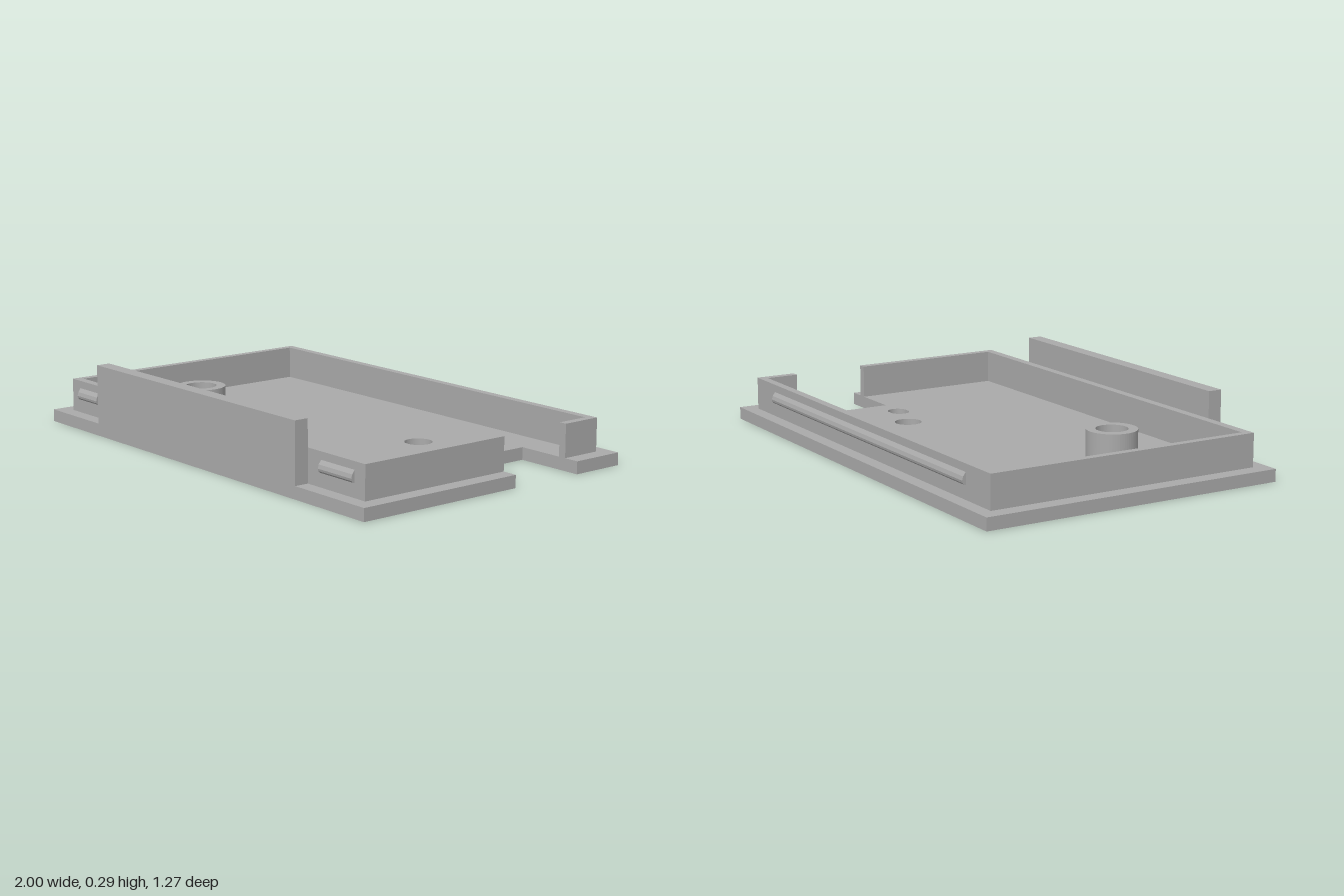
import * as THREE from 'three';

const grey = new THREE.MeshStandardMaterial({ color: 0xaaaaaa });
grey.name = 'plain grey plastic';

// Closed outline from [x, z] points; the shape's y is -z
const outline = (pts, Type = THREE.Shape) =>
  new Type(pts.map(([x, z]) => new THREE.Vector2(x, -z)));

const round = (Type, x, z, r) => {
  const s = new Type();
  s.absarc(x, -z, r, 0, Math.PI * 2, false);
  return s;
};

// Extrude a plan outline upward from y0 to y1
function slab(name, shape, y0, y1) {
  const geo = new THREE.ExtrudeGeometry(shape, { depth: y1 - y0, bevelEnabled: false, curveSegments: 32 });
  geo.rotateX(-Math.PI / 2);
  geo.translate(0, y0, 0);
  const mesh = new THREE.Mesh(geo, grey);
  mesh.name = name;
  return mesh;
}

// Snap ridge with a wedge section, running along x; dir is +1 front, -1 back
function ridge(name, x0, x1, z, dir) {
  const section = [[-0.005, 0.103], [0.006, 0.106], [0.013, 0.113], [0.015, 0.122], [0.011, 0.137], [0, 0.152], [-0.005, 0.152]];
  const shape = new THREE.Shape(section.map(([d, y]) => new THREE.Vector2(-dir * d, y)));
  const geo = new THREE.ExtrudeGeometry(shape, { depth: x1 - x0, bevelEnabled: false });
  geo.rotateY(Math.PI / 2); // shape x -> -z, depth -> x
  geo.translate(x0, 0, z);
  const mesh = new THREE.Mesh(geo, grey);
  mesh.name = name;
  return mesh;
}

export function createModel() {
  const group = new THREE.Group();
  group.name = 'enclosureLid';
  const floorY = 0.05, rimY = 0.183;
  const notchX = 0.71, notchBack = -0.41, notchFront = -0.09;
  const post = [-0.55, 0.2];

  // Base plate with the side notch and through holes
  const base = outline([
    [-1, 0.633], [1, 0.633], [1, notchFront], [notchX, notchFront],
    [notchX, notchBack], [1, notchBack], [1, -0.633], [-1, -0.633],
  ]);
  const slot = new THREE.Path();
  slot.absarc(0.59, 0.1, 0.04, -Math.PI / 2, Math.PI / 2, false);
  slot.absarc(0.57, 0.1, 0.04, Math.PI / 2, Math.PI * 1.5, false);
  base.holes.push(
    round(THREE.Path, ...post, 0.063),
    round(THREE.Path, 0.39, -0.16, 0.055),
    slot,
  );
  group.add(slab('basePlate', base, 0, floorY));

  // Inner rim, open where the notch cuts the right side
  const rim = outline([
    [0.937, notchFront], [0.937, 0.575], [-0.937, 0.575], [-0.937, -0.578],
    [0.937, -0.578], [0.937, notchBack], [0.905, notchBack], [0.905, -0.545],
    [-0.907, -0.545], [-0.907, 0.54], [0.905, 0.54], [0.905, notchFront],
  ]);
  group.add(slab('rimWall', rim, floorY, rimY));

  // Tall front panel
  const front = outline([[-0.66, 0.633], [0.62, 0.633], [0.62, 0.575], [-0.66, 0.575]]);
  group.add(slab('frontPanel', front, floorY, 0.29));

  // Hollow screw post
  const tube = round(THREE.Shape, ...post, 0.1);
  tube.holes.push(round(THREE.Path, ...post, 0.063));
  group.add(slab('screwPost', tube, floorY, 0.168));

  // Snap ridges
  group.add(
    ridge('frontRightClip', -0.88, -0.74, 0.575, 1),
    ridge('frontLeftClip', 0.695, 0.88, 0.575, 1),
    ridge('backClip', -0.77, 0.77, -0.578, -1),
  );
  return group;
}
